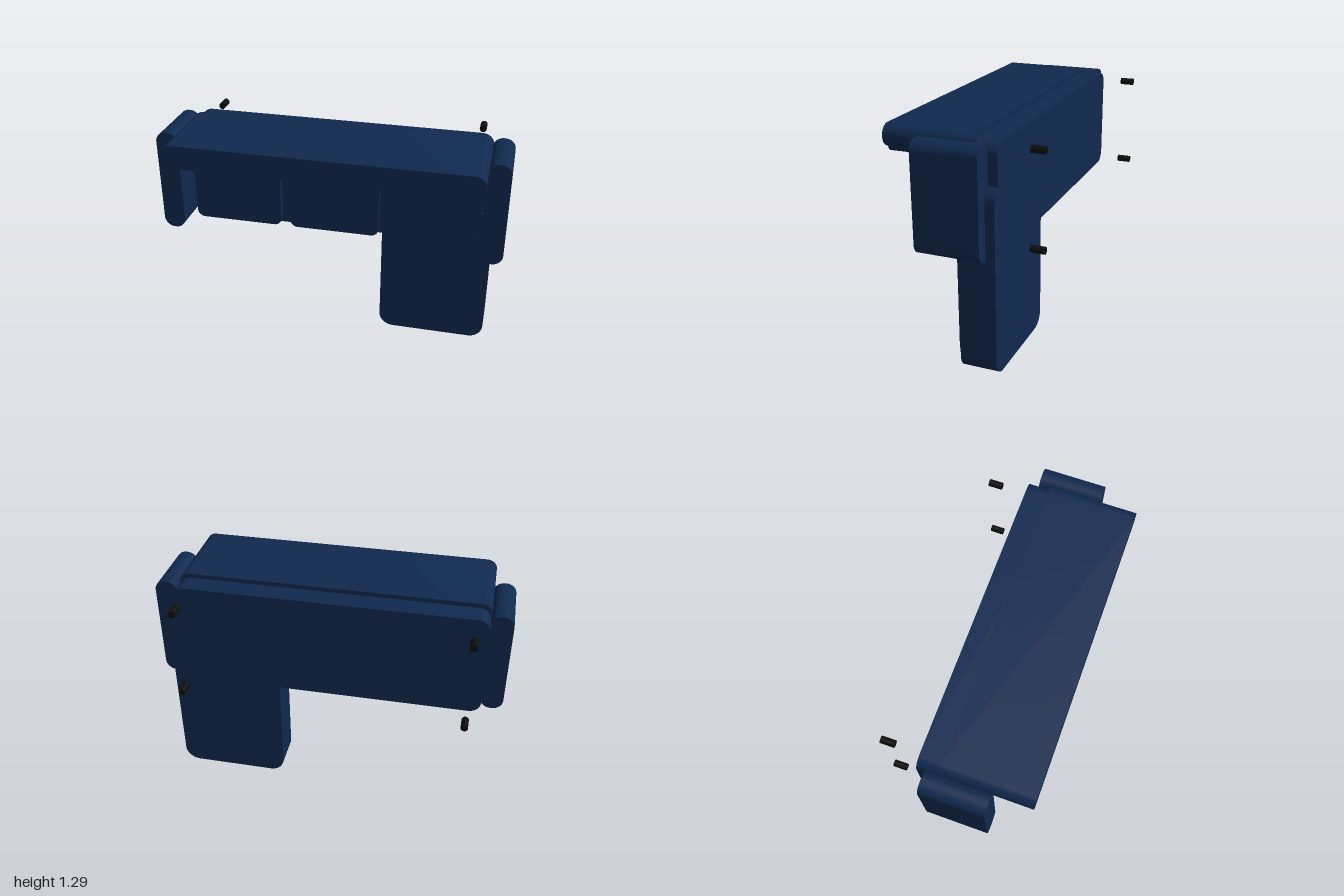
import * as THREE from 'three';
import { toCreasedNormals } from 'three/addons/utils/BufferGeometryUtils.js';

const fabric = new THREE.MeshStandardMaterial({ color: 0x10294f });
fabric.name = 'navyFabric';
const black = new THREE.MeshStandardMaterial({ color: 0x0c0c0c });
black.name = 'blackLeg';

// Rounded rectangle in x and y, extruded from z0 to z1
function paddedBlock(x0, x1, y0, y1, z0, z1, r) {
  const s = new THREE.Shape();
  s.moveTo(x0 + r, y0);
  s.lineTo(x1 - r, y0);
  s.absarc(x1 - r, y0 + r, r, -Math.PI / 2, 0);
  s.lineTo(x1, y1 - r);
  s.absarc(x1 - r, y1 - r, r, 0, Math.PI / 2);
  s.lineTo(x0 + r, y1);
  s.absarc(x0 + r, y1 - r, r, Math.PI / 2, Math.PI);
  s.lineTo(x0, y0 + r);
  s.absarc(x0 + r, y0 + r, r, Math.PI, Math.PI * 1.5);
  const geo = new THREE.ExtrudeGeometry(s, { depth: z1 - z0, bevelEnabled: false, curveSegments: 10 });
  geo.translate(0, 0, z0);
  return toCreasedNormals(geo, 0.6);
}

export function createModel() {
  const sofa = new THREE.Group();
  sofa.name = 'cornerSofa';
  const add = (name, geo, mat = fabric) => {
    const mesh = new THREE.Mesh(geo, mat);
    mesh.name = name;
    sofa.add(mesh);
    return mesh;
  };

  // Frame: the sofa rests on its back, seat facing +z
  add('seatBase', paddedBlock(-0.88, 0.88, 0.66, 1.265, -0.205, 0, 0.07));
  add('chaiseBase', paddedBlock(0.285, 0.925, 0, 1.05, -0.204, 0.001, 0.085));
  add('chaiseCushion', paddedBlock(0.31, 0.895, 0.08, 0.87, -0.02, 0.02, 0.05));
  add('backrest', paddedBlock(-0.88, 0.88, 1.168, 1.29, -0.08, 0.425, 0.058));

  // Seat cushions with matching thin back cushions
  [[-0.86, -0.325], [-0.27, 0.267], [0.318, 0.853]].forEach(([x0, x1]) => {
    add('seatCushion', paddedBlock(x0, x1, 0.652, 1.175, -0.02, 0.035, 0.045));
    add('backCushion', paddedBlock(x0, x1, 1.145, 1.215, 0.03, 0.41, 0.03));
  });

  for (const side of [-1, 1]) {
    // Arms
    const inner = side * 0.872, outer = side;
    add(side > 0 ? 'leftArm' : 'rightArm',
      paddedBlock(Math.min(inner, outer), Math.max(inner, outer), 0.66, 1.267, -0.152, 0.208, 0.06));

    // Detached legs pointing away from the seat
    for (const y of [0.71, 1.23]) {
      const leg = add('leg', new THREE.CylinderGeometry(0.02, 0.02, 0.078, 20), black);
      leg.rotation.x = Math.PI / 2;
      leg.position.set(side * 0.803, y, -0.386);
    }
  }
  return sofa;
}
